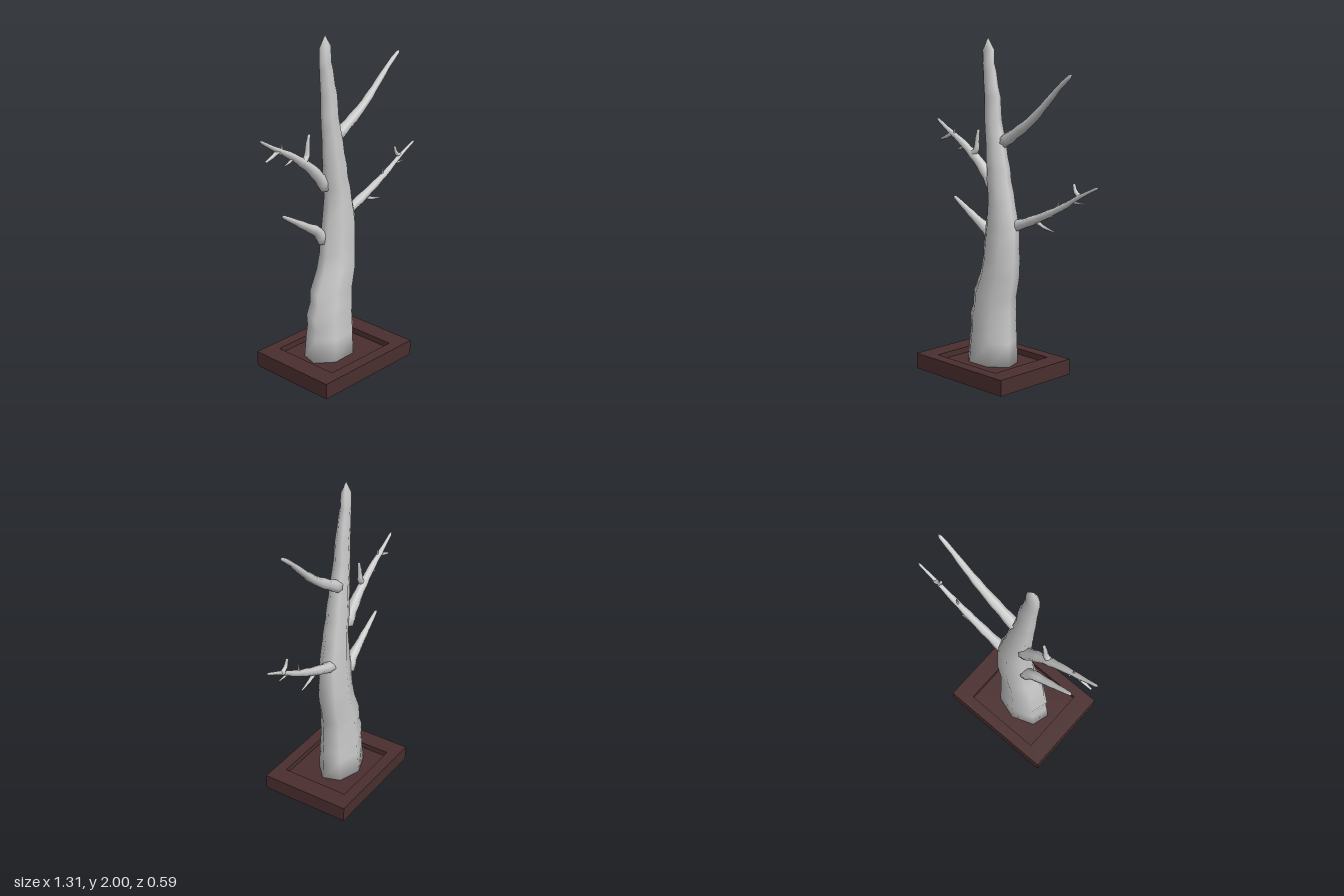
import * as THREE from 'three';

const SIDES = 7;
const bark = new THREE.MeshStandardMaterial({ color: 0xcccccc });
const wood = new THREE.MeshStandardMaterial({ color: 0x4a2e2e });

// Smooth skin over a list of rings (each SIDES points), closed by a point at both ends
function skin(rings, start, end) {
  const pos = [], index = [];
  rings.forEach(r => r.forEach(p => pos.push(p.x, p.y, p.z)));
  const s = pos.length / 3, e = s + 1, last = (rings.length - 1) * SIDES;
  pos.push(...start.toArray(), ...end.toArray());
  for (let j = 0; j < SIDES; j++) {
    const k = (j + 1) % SIDES;
    index.push(s, k, j, e, last + j, last + k);
    for (let i = 0; i < rings.length - 1; i++) {
      const a = i * SIDES, b = a + SIDES;
      index.push(a + j, a + k, b + k, a + j, b + k, b + j);
    }
  }
  const g = new THREE.BufferGeometry();
  g.setAttribute('position', new THREE.Float32BufferAttribute(pos, 3));
  g.setIndex(index);
  g.computeVertexNormals();
  return g;
}

// Trunk: [height, left edge, right edge]
const TRUNK = [
  [0.05, -0.325, 0.025], [0.2, -0.31, 0.022], [0.26, -0.3, 0.02], [0.33, -0.31, 0.022],
  [0.4, -0.28, 0.022], [0.48, -0.28, 0.025], [0.6, -0.225, 0.05], [0.7, -0.2, 0.052],
  [0.78, -0.195, 0.053], [0.9, -0.18, 0.053], [1.03, -0.163, 0.02], [1.1, -0.165, 0.01],
  [1.17, -0.175, -0.01], [1.24, -0.175, -0.015], [1.31, -0.183, -0.035], [1.38, -0.183, -0.045],
  [1.46, -0.19, -0.065], [1.53, -0.195, -0.08], [1.66, -0.2, -0.085], [1.72, -0.205, -0.103],
  [1.8, -0.21, -0.115], [1.85, -0.215, -0.13], [1.93, -0.213, -0.13],
];

function trunkGeometry() {
  const rings = TRUNK.map(([y, l, r]) => {
    const rx = (r - l) / 2 / 0.975, rz = 0.129 - 0.104 * (y - 0.05) / 1.88;
    return Array.from({ length: SIDES }, (_, j) => {
      const a = j / SIDES * Math.PI * 2;
      return new THREE.Vector3((l + r) / 2 - rx * Math.sin(a), y, -0.017 - rz * Math.cos(a));
    });
  });
  return skin(rings, new THREE.Vector3(-0.15, 0.05, -0.017), new THREE.Vector3(-0.175, 2, -0.017));
}

// Tapering limb through [x, y] points, its depth running from z0 to z1
function limbGeometry(points, r0, r1, z0, z1) {
  const curve = new THREE.CatmullRomCurve3(points.map(([x, y], i) =>
    new THREE.Vector3(x, y, THREE.MathUtils.lerp(z0, z1, i / (points.length - 1)))));
  const n = points.length * 2, rings = [];
  const zAxis = new THREE.Vector3(0, 0, 1);
  for (let i = 0; i <= n; i++) {
    const t = i / n * 0.97, c = curve.getPointAt(t), dir = curve.getTangentAt(t);
    const u = new THREE.Vector3().crossVectors(zAxis, dir).normalize();
    const v = new THREE.Vector3().crossVectors(dir, u);
    const r = THREE.MathUtils.lerp(r0, r1, t) * (1 + 0.07 * Math.sin(i * 2.4));
    rings.push(Array.from({ length: SIDES }, (_, j) => {
      const a = j / SIDES * Math.PI * 2;
      return c.clone().addScaledVector(u, r * Math.cos(a)).addScaledVector(v, r * Math.sin(a));
    }));
  }
  const start = curve.getPointAt(0).addScaledVector(curve.getTangentAt(0), -r0 * 0.4);
  return skin(rings, start, curve.getPointAt(1));
}

// name, path, start radius, end radius, start z, end z
const LIMBS = [
  ['upperLeftBranch', [[-0.07, 1.395], [0.04, 1.46], [0.16, 1.54], [0.3, 1.665], [0.38, 1.74], [0.47, 1.81]], 0.037, 0.011, -0.03, -0.016],
  ['lowerLeftBranch', [[0.01, 0.905], [0.1, 0.935], [0.2, 0.975], [0.3, 1.02], [0.4, 1.07], [0.5, 1.13], [0.655, 1.207]], 0.034, 0.007, -0.042, -0.035],
  ['upperRightBranch', [[-0.15, 1.11], [-0.2, 1.175], [-0.27, 1.25], [-0.36, 1.32], [-0.45, 1.38], [-0.55, 1.435], [-0.657, 1.502]], 0.04, 0.008, -0.045, -0.05],
  ['lowerRightBranch', [[-0.17, 0.785], [-0.22, 0.855], [-0.3, 0.905], [-0.38, 0.955], [-0.505, 1.032]], 0.038, 0.01, -0.05, -0.045],
  // twigs
  ['twig', [[0.18, 0.965], [0.24, 0.935], [0.33, 0.913]], 0.015, 0.004, -0.04, -0.04],
  ['twig', [[0.345, 1.045], [0.355, 1.075], [0.36, 1.11]], 0.008, 0.003, -0.04, -0.04],
  ['twig', [[0.52, 1.135], [0.485, 1.16], [0.468, 1.207]], 0.016, 0.008, -0.04, -0.042],
  ['twig', [[0.45, 1.1], [0.49, 1.1], [0.545, 1.1]], 0.009, 0.004, -0.038, -0.038],
  ['twig', [[-0.35, 1.3], [-0.305, 1.325], [-0.295, 1.39], [-0.283, 1.457]], 0.022, 0.009, -0.043, -0.043],
  ['twig', [[-0.52, 1.415], [-0.57, 1.39], [-0.62, 1.373]], 0.015, 0.006, -0.048, -0.048],
  ['twig', [[-0.51, 1.395], [-0.496, 1.41], [-0.495, 1.445]], 0.01, 0.004, -0.046, -0.046],
  ['twig', [[-0.41, 1.345], [-0.44, 1.33], [-0.475, 1.318]], 0.01, 0.004, -0.045, -0.045],
];

// Plinth: solid slab with a raised frame around a sunken tray
function createBase() {
  const base = new THREE.Group();
  base.name = 'base';
  const w = 0.735, d = 0.575, floorY = 0.06, top = 0.095;
  const rect = (target, a, b) => {
    target.moveTo(-a / 2, -b / 2);
    target.lineTo(a / 2, -b / 2);
    target.lineTo(a / 2, b / 2);
    target.lineTo(-a / 2, b / 2);
    target.closePath();
    return target;
  };
  const slab = new THREE.Mesh(new THREE.BoxGeometry(w, floorY, d), wood);
  slab.name = 'baseSlab';
  slab.position.y = floorY / 2;
  const shape = rect(new THREE.Shape(), w, d);
  shape.holes.push(rect(new THREE.Path(), 0.5, 0.435));
  const frame = new THREE.Mesh(
    new THREE.ExtrudeGeometry(shape, { depth: top - floorY, bevelEnabled: false }), wood);
  frame.name = 'baseFrame';
  frame.rotation.x = -Math.PI / 2;
  frame.position.y = floorY;
  base.add(slab, frame);
  base.position.x = -0.128;
  base.rotation.y = -0.027;
  return base;
}

export function createModel() {
  const model = new THREE.Group();
  model.name = 'bareTree';
  const add = (name, geometry) => {
    const mesh = new THREE.Mesh(geometry, bark);
    mesh.name = name;
    model.add(mesh);
  };
  model.add(createBase());
  add('trunk', trunkGeometry());
  for (const [name, ...spec] of LIMBS) add(name, limbGeometry(...spec));
  return model;
}
